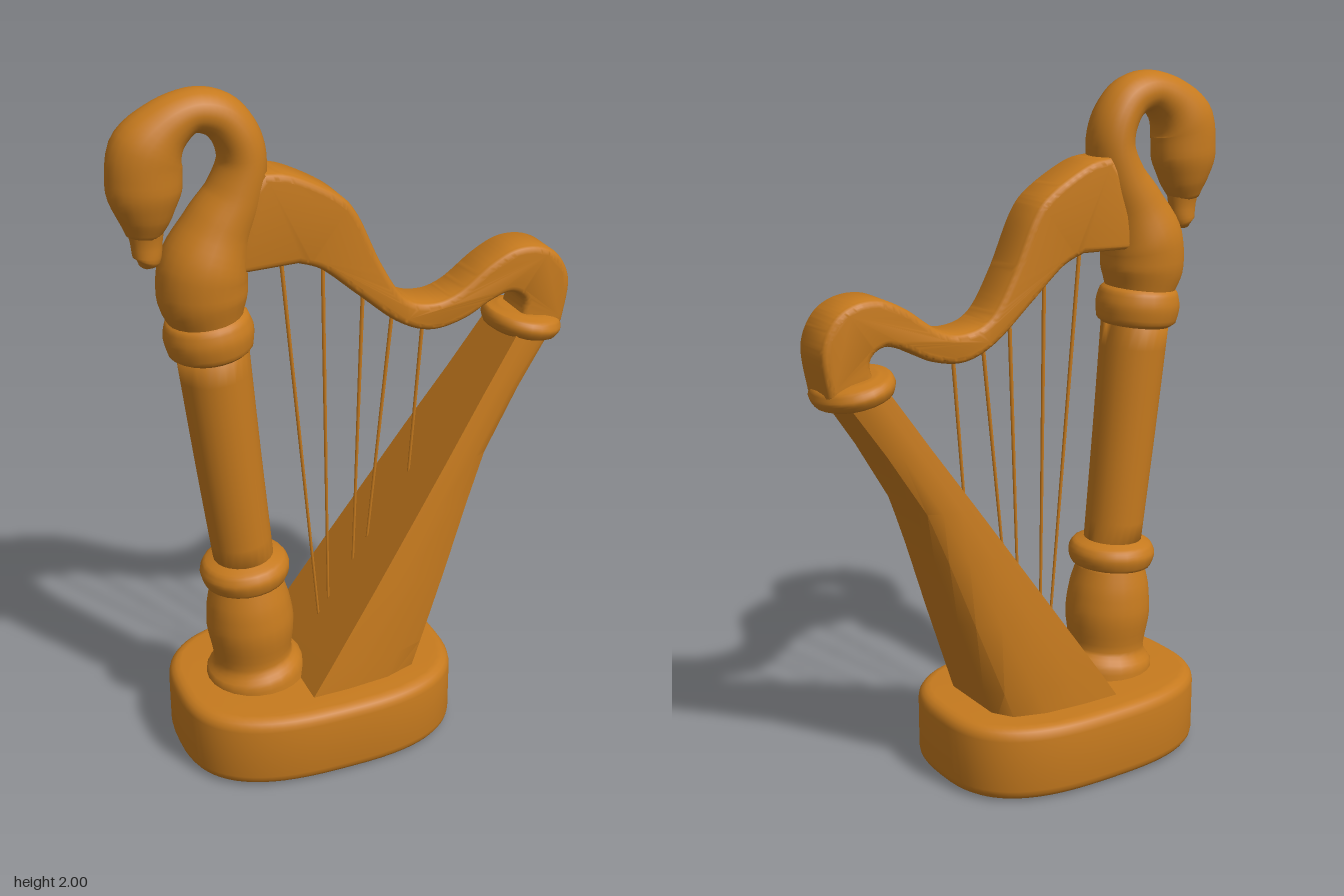
import * as THREE from 'three';
import { toCreasedNormals } from 'three/addons/utils/BufferGeometryUtils.js';

const wood = new THREE.MeshStandardMaterial({ color: 0xc67a1e });
wood.name = 'warm wood';

// Build an indexed surface from closed rings of points, with both ends capped.
function fromRings(rings) {
  const n = rings[0].length, pos = rings.flat(2), index = [];
  for (let i = 0; i < rings.length - 1; i++) {
    for (let j = 0; j < n; j++) {
      const a = i * n + j, b = i * n + (j + 1) % n;
      index.push(a, a + n, b, b, a + n, b + n);
    }
  }
  const last = (rings.length - 1) * n;
  for (let j = 1; j < n - 1; j++) {
    index.push(0, j, j + 1, last, last + j + 1, last + j);
  }
  const g = new THREE.BufferGeometry();
  g.setAttribute('position', new THREE.Float32BufferAttribute(pos, 3));
  g.setIndex(index);
  g.computeVertexNormals();
  return g;
}

// Smooth loft along a path in the xy plane; each section is [x, y, radius, radius in z].
function loft(sections, steps = 4, sides = 24) {
  const path = new THREE.CatmullRomCurve3(sections.map(s => new THREE.Vector3(s[0], s[1], 0)));
  const size = new THREE.CatmullRomCurve3(sections.map(s => new THREE.Vector3(s[2], s[3] ?? s[2], 0)));
  const rings = [], count = (sections.length - 1) * steps;
  for (let i = 0; i <= count; i++) {
    const p = path.getPoint(i / count), t = path.getTangent(i / count), r = size.getPoint(i / count);
    const ring = [];
    for (let j = 0; j < sides; j++) {
      const a = j / sides * Math.PI * 2, c = Math.cos(a) * r.x;
      ring.push([p.x + t.y * c, p.y - t.x * c, Math.sin(a) * r.y]);
    }
    rings.push(ring);
  }
  return fromRings(rings);
}

function bevelled(shape, depth, bevel) {
  const g = new THREE.ExtrudeGeometry(shape, {
    depth: depth - 2 * bevel, bevelEnabled: true, bevelThickness: bevel,
    bevelSize: bevel, bevelOffset: -bevel, bevelSegments: 4, curveSegments: 12,
  });
  g.translate(0, 0, bevel);
  return toCreasedNormals(g, 0.7);
}

export function createModel() {
  const model = new THREE.Group();
  model.name = 'harp';
  const add = (name, geometry) => {
    const mesh = new THREE.Mesh(geometry, wood);
    mesh.name = name;
    model.add(mesh);
    return mesh;
  };

  // Rounded plinth
  const outline = [];
  for (let i = 0; i < 72; i++) {
    const a = i / 72 * Math.PI * 2, c = Math.cos(a), s = Math.sin(a), e = 2 / 2.7;
    outline.push(new THREE.Vector2(
      -0.13 + 0.42 * Math.sign(c) * Math.abs(c) ** e, 0.3 * Math.sign(s) * Math.abs(s) ** e));
  }
  add('base', bevelled(new THREE.Shape(outline), 0.225, 0.035)).rotation.x = -Math.PI / 2;

  // Leaning column
  add('columnFoot', loft([[-0.3, 0.19, 0.15], [-0.305, 0.25, 0.143], [-0.31, 0.295, 0.115],
    [-0.315, 0.4, 0.128], [-0.32, 0.48, 0.12], [-0.324, 0.56, 0.098]]));
  add('lowerRing', loft([[-0.324, 0.54, 0.09], [-0.325, 0.552, 0.12], [-0.327, 0.587, 0.13],
    [-0.329, 0.615, 0.118], [-0.33, 0.632, 0.08]]));
  add('columnShaft', loft([[-0.327, 0.6, 0.086], [-0.365, 0.95, 0.093], [-0.4, 1.3, 0.1]]));
  add('upperRing', loft([[-0.4, 1.27, 0.09], [-0.402, 1.29, 0.116], [-0.407, 1.335, 0.123],
    [-0.411, 1.375, 0.114], [-0.413, 1.395, 0.09]]));

  // Swan finial: breast, curled neck, head and bill
  add('swan', loft([[-0.412, 1.37, 0.098, 0.1], [-0.42, 1.45, 0.122, 0.12], [-0.415, 1.52, 0.12, 0.122],
    [-0.375, 1.62, 0.095, 0.1], [-0.325, 1.71, 0.076, 0.088], [-0.3, 1.8, 0.064, 0.08],
    [-0.315, 1.87, 0.062, 0.076], [-0.36, 1.925, 0.06, 0.07], [-0.43, 1.943, 0.057, 0.068],
    [-0.5, 1.91, 0.072, 0.075], [-0.552, 1.845, 0.098, 0.086], [-0.562, 1.76, 0.099, 0.086],
    [-0.565, 1.68, 0.072, 0.066], [-0.57, 1.63, 0.045, 0.04]], 5));
  add('bill', loft([[-0.565, 1.68, 0.055, 0.05], [-0.563, 1.61, 0.042, 0.036],
    [-0.565, 1.565, 0.037, 0.036], [-0.575, 1.545, 0.012, 0.015]]));

  // Curved harp neck
  const neck = new THREE.Shape();
  neck.moveTo(-0.34, 1.51);
  neck.lineTo(-0.17, 1.515);
  neck.splineThru([[-0.1, 1.485], [0, 1.4], [0.12, 1.3], [0.22, 1.26], [0.32, 1.275],
    [0.41, 1.32], [0.47, 1.335], [0.51, 1.3], [0.49, 1.22]].map(p => new THREE.Vector2(...p)));
  neck.lineTo(0.635, 1.22);
  neck.splineThru([[0.652, 1.34], [0.62, 1.42], [0.56, 1.46], [0.48, 1.465], [0.4, 1.43],
    [0.3, 1.36], [0.22, 1.342], [0.14, 1.372], [0.07, 1.48], [0, 1.63], [-0.06, 1.695],
    [-0.18, 1.76], [-0.26, 1.775]].map(p => new THREE.Vector2(...p)));
  neck.lineTo(-0.33, 1.68);
  add('neck', bevelled(neck, 0.142, 0.02)).position.z = -0.071;

  // Collar joining neck and soundbox
  add('collar', loft([[0.528, 1.19, 0.085, 0.095], [0.53, 1.2, 0.105, 0.118], [0.535, 1.225, 0.114, 0.13],
    [0.54, 1.247, 0.105, 0.118], [0.542, 1.258, 0.07, 0.08]]));

  // Tapering soundbox; each section is [y, string side x, back x, half width]
  const sections = [[0.19, -0.22, 0.16, 0.212], [0.3, -0.147, 0.197, 0.205], [0.52, 0.002, 0.272, 0.183],
    [0.72, 0.137, 0.338, 0.16], [0.87, 0.238, 0.392, 0.142], [1.05, 0.36, 0.5, 0.117],
    [1.22, 0.474, 0.615, 0.098]];
  const half = [[0, 1], [0.3, 0.99], [0.65, 0.93], [0.9, 0.78], [1, 0.5]];
  const rings = sections.map(([y, x0, x1, w]) => {
    const front = half.map(([u, v]) => [x0 + (x1 - x0) * u, y, w * v]);
    const back = front.map(([x, , z]) => [x, y, -z]);
    return [...back, ...front.reverse()];
  });
  add('soundbox', toCreasedNormals(fromRings(rings), 0.7));

  // Strings from the neck to the soundbox
  const strings = [[-0.2, 1.54, -0.098, 0.34], [-0.078, 1.49, -0.068, 0.38], [0.04, 1.39, 0.01, 0.5],
    [0.13, 1.32, 0.055, 0.58], [0.225, 1.29, 0.185, 0.76]];
  for (const [x0, y0, x1, y1] of strings) {
    const length = Math.hypot(x1 - x0, y0 - y1);
    const string = add('string', new THREE.CylinderGeometry(0.006, 0.004, length, 8));
    string.position.set((x0 + x1) / 2, (y0 + y1) / 2, 0);
    string.rotation.z = Math.atan2(x1 - x0, y0 - y1);
  }
  return model;
}
